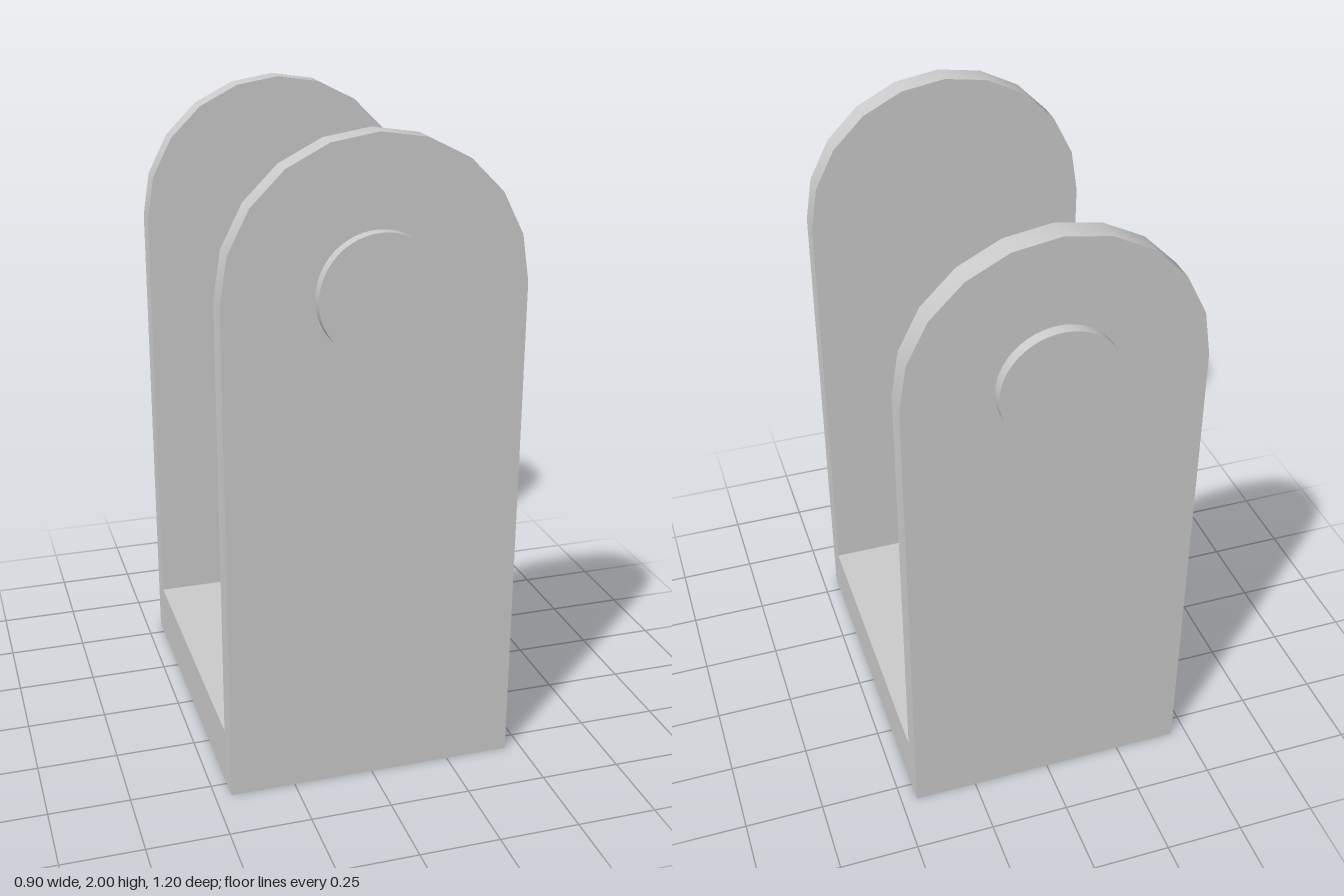
import * as THREE from 'three';
import { toCreasedNormals } from 'three/addons/utils/BufferGeometryUtils.js';

const HALF_WIDTH = 0.45;   // also the radius of the rounded top
const PIVOT_Y = 1.55;
const INNER_Z = 0.485, OUTER_Z = 0.563, PIN_Z = 0.6;
const BASE_HEIGHT = 0.18;

export function createModel() {
  const group = new THREE.Group();
  group.name = 'clevisBracket';
  const material = new THREE.MeshStandardMaterial({ color: 0xcccccc });

  const add = (name, geometry, x, y, z) => {
    const mesh = new THREE.Mesh(geometry, material);
    mesh.name = name;
    mesh.position.set(x, y, z);
    group.add(mesh);
  };

  // Base plate between the two uprights
  add('base', new THREE.BoxGeometry(HALF_WIDTH * 2, BASE_HEIGHT, INNER_Z * 2), 0, BASE_HEIGHT / 2, 0);

  // Upright outline: straight sides and a ten-sided half-round top
  const outline = new THREE.Shape();
  outline.moveTo(-HALF_WIDTH, 0);
  outline.lineTo(HALF_WIDTH, 0);
  outline.lineTo(HALF_WIDTH, PIVOT_Y);
  outline.absarc(0, PIVOT_Y, HALF_WIDTH, 0, Math.PI, false);
  outline.closePath();
  const upright = toCreasedNormals(new THREE.ExtrudeGeometry(outline, {
    depth: OUTER_Z - INNER_Z, bevelEnabled: false, curveSegments: 5,
  }), 0.5);

  // Round pin head standing out from the outer face
  const pinDepth = PIN_Z - OUTER_Z;
  const pin = new THREE.CylinderGeometry(0.183, 0.183, pinDepth, 48).rotateX(Math.PI / 2);

  for (const [side, s] of [['front', 1], ['back', -1]]) {
    add(side + 'Upright', upright, 0, 0, s > 0 ? INNER_Z : -OUTER_Z);
    add(side + 'PinHead', pin, 0, PIVOT_Y, s * (OUTER_Z + pinDepth / 2));
  }
  return group;
}
